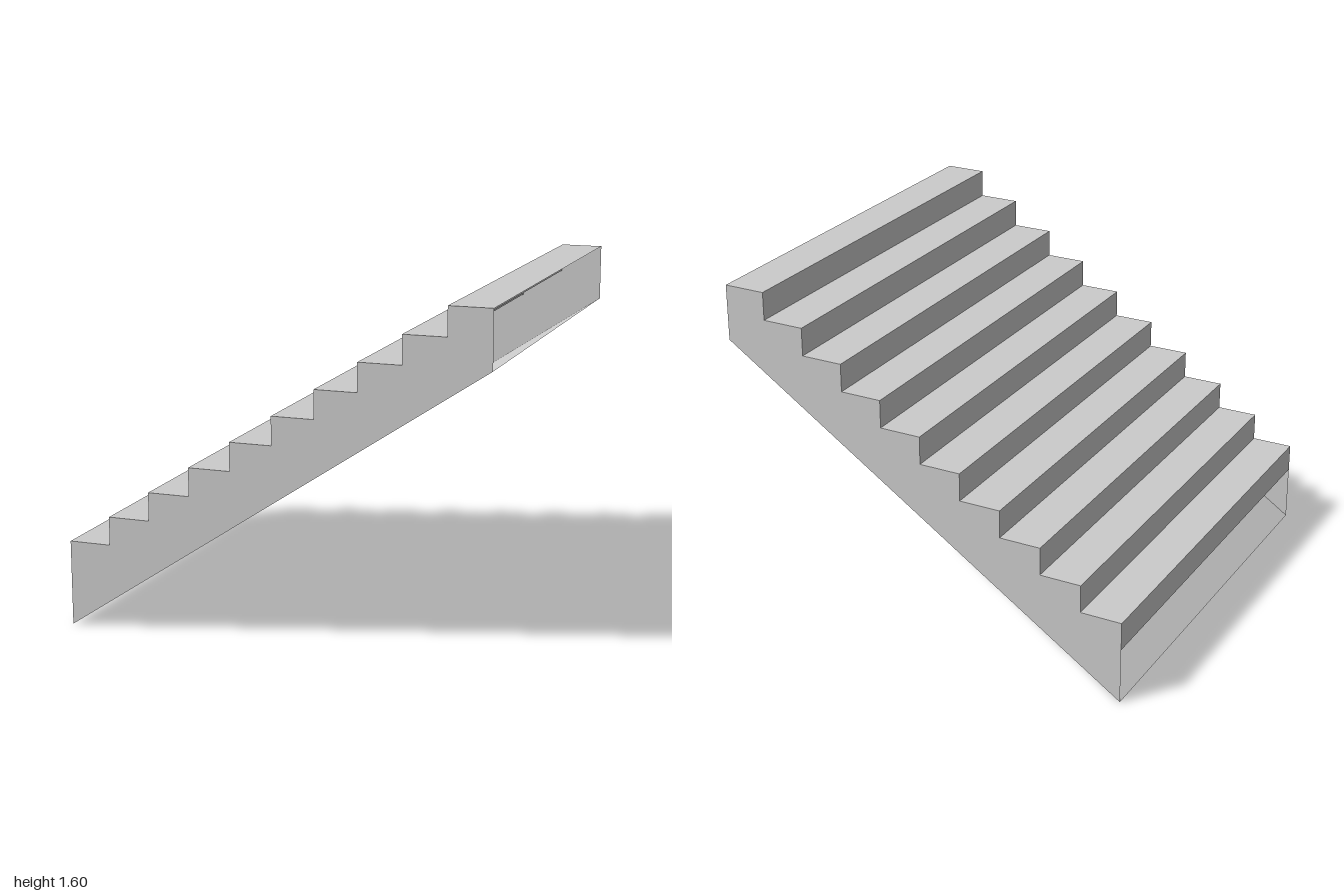
import * as THREE from 'three';

const STEPS = 10, RUN = 0.2, RISE = 0.4 / 3, WIDTH = 2;
const stepX = i => -1 + RUN * i;          // riser position
const stepY = i => 0.4 + RISE * i;        // tread height
const SLOPE_TOP = RISE * STEPS;           // soffit height at the upper end

export function createModel() {
  const group = new THREE.Group();
  group.name = 'staircase';
  const material = new THREE.MeshStandardMaterial({
    color: 0xcccccc, flatShading: true, side: THREE.DoubleSide,
  });

  // Thin panel spanning the full width, centred at (x, y) and turned about z
  const addPanel = (name, length, x, y, angle) => {
    const geometry = new THREE.PlaneGeometry(length, WIDTH);
    geometry.rotateX(-Math.PI / 2);
    const mesh = new THREE.Mesh(geometry, material);
    mesh.name = name;
    mesh.position.set(x, y, 0);
    mesh.rotation.z = angle;
    group.add(mesh);
  };

  // Treads and risers; both ends stay open below the steps
  for (let i = 0; i < STEPS; i++) {
    addPanel('tread' + (i + 1), RUN, stepX(i) + RUN / 2, stepY(i), 0);
    addPanel('riser' + (i + 1), RISE, stepX(i), stepY(i) - RISE / 2, Math.PI / 2);
  }

  // Sloping underside
  addPanel('soffit', Math.hypot(2, SLOPE_TOP), 0, SLOPE_TOP / 2,
    Math.PI + Math.atan2(SLOPE_TOP, 2));

  // Stepped side walls
  const profile = new THREE.Shape();
  profile.moveTo(-1, 0);
  profile.lineTo(1, SLOPE_TOP);
  for (let i = STEPS - 1; i >= 0; i--) {
    profile.lineTo(stepX(i + 1), stepY(i));
    profile.lineTo(stepX(i), stepY(i));
  }
  profile.closePath();
  for (const side of [1, -1]) {
    const geometry = new THREE.ShapeGeometry(profile);
    if (side < 0) {
      // Reverse the winding so the back wall faces outward
      const index = geometry.index.array;
      for (let i = 0; i < index.length; i += 3) {
        [index[i], index[i + 1]] = [index[i + 1], index[i]];
      }
      geometry.computeVertexNormals();
    }
    const wall = new THREE.Mesh(geometry, material);
    wall.name = side > 0 ? 'frontWall' : 'backWall';
    wall.position.z = side * WIDTH / 2;
    group.add(wall);
  }

  return group;
}
